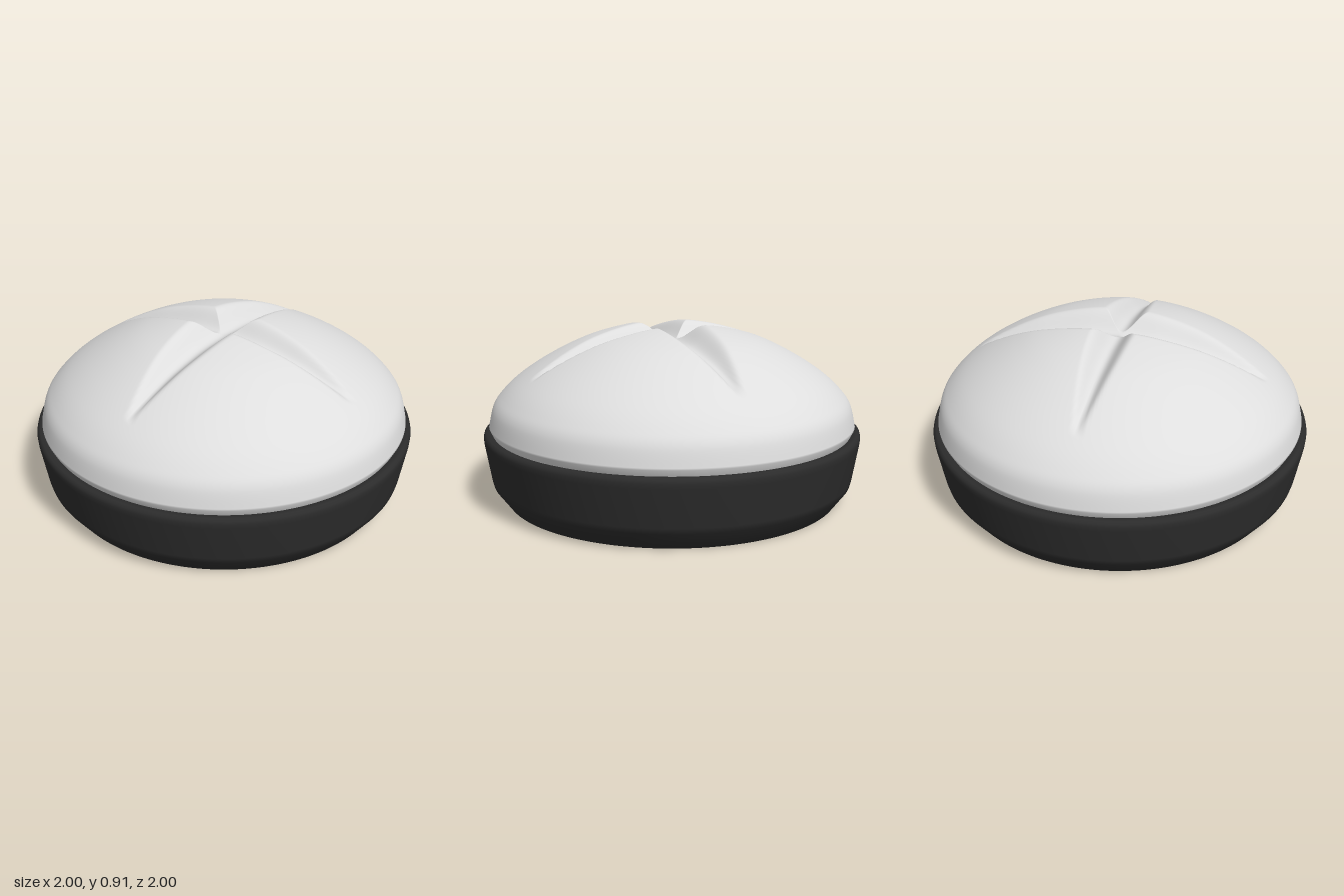
import * as THREE from 'three';
import { mergeVertices } from 'three/addons/utils/BufferGeometryUtils.js';

const SEGMENTS = 256;
const toPoints = (list) => list.map(([r, y]) => new THREE.Vector2(r, y));

// Two crossing lens-shaped scores: direction in x/z, half width, depth
const SCORES = [
  { dx: 0.887, dz: -0.462, width: 0.15, depth: 0.1 },
  { dx: 0.462, dz: 0.887, width: 0.125, depth: 0.09 },
];
const SCORE_REACH = 0.81;

// Depth of one score at a point: rounded lips and floor, tapering to the tips
function scoreDepth(x, z, { dx, dz, width, depth }) {
  const along = (x * dx + z * dz) / SCORE_REACH;
  const taper = 1 - along * along;
  if (taper <= 0) return 0;
  const across = Math.abs(x * dz - z * dx) / (width * taper);
  return across < 1 ? depth * taper * 0.5 * (1 + Math.cos(Math.PI * across)) : 0;
}

// Domed top, turned from a profile and then pressed in along the scores
function createDome() {
  const curve = new THREE.SplineCurve(toPoints([
    [0.97, 0.4], [0.945, 0.5], [0.9, 0.565], [0.82, 0.64], [0.7, 0.722],
    [0.55, 0.803], [0.4, 0.863], [0.2, 0.912], [0, 0.928],
  ]));
  const profile = [...toPoints([[0.94, 0.34], [0.955, 0.37]]), ...curve.getSpacedPoints(130)];
  const lathe = new THREE.LatheGeometry(profile, SEGMENTS);
  lathe.deleteAttribute('uv');
  lathe.deleteAttribute('normal');
  const geometry = mergeVertices(lathe, 1e-5);
  const pos = geometry.attributes.position;
  for (let i = 0; i < pos.count; i++) {
    const x = pos.getX(i), z = pos.getZ(i);
    const cut = Math.max(...SCORES.map((s) => scoreDepth(x, z, s)));
    pos.setY(i, pos.getY(i) - cut);
  }
  geometry.computeVertexNormals();
  return geometry;
}

export function createModel() {
  const model = new THREE.Group();
  const pale = new THREE.MeshStandardMaterial({ color: 0xdedede });
  pale.name = 'pale grey';
  const dark = new THREE.MeshStandardMaterial({ color: 0x2c2c2c });
  dark.name = 'charcoal';

  // Shallow dark base with a chamfered foot and rounded rim
  const base = new THREE.Mesh(new THREE.LatheGeometry(toPoints([
    [0, 0], [0.86, 0], [0.888, 0.002], [0.957, 0.095], [0.965, 0.125], [0.998, 0.32],
    [1, 0.345], [0.996, 0.36], [0.985, 0.37], [0.965, 0.371], [0.94, 0.36],
  ]), SEGMENTS), dark);
  base.name = 'base';

  const dome = new THREE.Mesh(createDome(), pale);
  dome.name = 'scoredDome';

  model.add(base, dome);
  return model;
}
